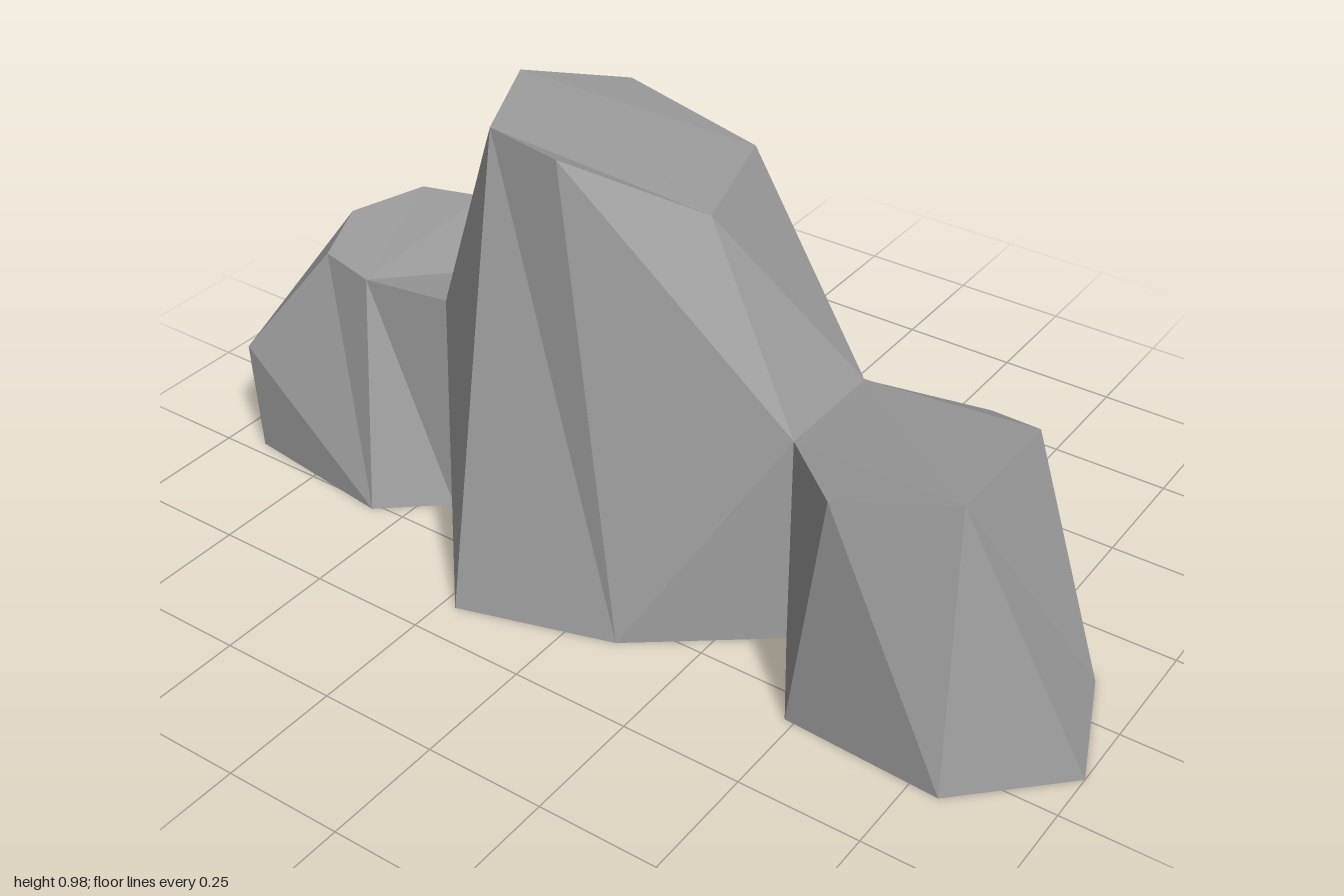
import * as THREE from 'three';

// Corners on the two seams where neighbouring rocks meet
const rightSeam = {
  A: [0.36, 0.46, 0.12], F: [0.36, 0.46, -0.13],
  a: [0.36, 0, 0.12], g: [0.36, 0, -0.13],
};
const leftSeam = {
  S1: [-0.44, 0.49, 0.14], S2: [-0.44, 0.39, -0.25],
  s1: [-0.44, 0, 0.155], s2: [-0.44, 0, -0.25],
};

// Builds a flat-faceted rock from named corners; each face is a fan turned outward
function makeRock(name, points, faces, material) {
  const corners = {};
  const centre = new THREE.Vector3();
  const keys = Object.keys(points);
  for (const key of keys) {
    corners[key] = new THREE.Vector3(...points[key]);
    centre.addScaledVector(corners[key], 1 / keys.length);
  }
  const positions = [];
  for (const face of faces) {
    const ring = face.split(' ').map((key) => corners[key]);
    for (let i = 1; i < ring.length - 1; i++) {
      const triangle = new THREE.Triangle(ring[0], ring[i], ring[i + 1]);
      const normal = triangle.getNormal(new THREE.Vector3());
      const outward = triangle.getMidpoint(new THREE.Vector3()).sub(centre);
      const order = normal.dot(outward) >= 0 ? [0, i, i + 1] : [0, i + 1, i];
      for (const k of order) positions.push(...ring[k].toArray());
    }
  }
  const geometry = new THREE.BufferGeometry();
  geometry.setAttribute('position', new THREE.Float32BufferAttribute(positions, 3));
  geometry.computeVertexNormals();
  const mesh = new THREE.Mesh(geometry, material);
  mesh.name = name;
  return mesh;
}

export function createModel() {
  const stone = new THREE.MeshStandardMaterial({
    color: 0x9e9e9e, flatShading: true, side: THREE.DoubleSide,
  });
  stone.name = 'stone grey';

  const group = new THREE.Group();
  group.name = 'rockCluster';

  // Tall middle rock, open underneath and at the seams
  group.add(makeRock('tallRock', {
    ...rightSeam, ...leftSeam,
    T1: [-0.35, 0.957, -0.01], T2: [-0.22, 0.975, 0.24], T3: [-0.065, 0.96, 0.25],
    T4: [0.165, 0.857, 0.105], T5: [0.015, 0.795, -0.27], T6: [-0.285, 0.855, -0.277],
    m: [-0.22, 0, 0.415], n: [0.1, 0, 0.32], k: [0.015, 0, -0.415],
  }, [
    'T2 T3 T4', 'T1 T2 T4', 'T1 T4 T5 T6', // top
    'S1 s1 m', 'T2 m S1 T1', 'T2 m n T3', 'T3 n A T4', 'A n a', // front
    'T4 A F', 'T4 F T5', 'F g k', 'F k T5', // right and back right
    'T5 k S2 T6', 'k S2 s2', 'T6 S2 S1 T1', // back and left
  ], stone));

  // Pointed rock on the +x side
  group.add(makeRock('sideRock', {
    ...rightSeam,
    B: [0.55, 0.525, 0.318], C: [0.77, 0.565, 0.245],
    D: [0.72, 0.48, -0.145], E: [0.58, 0.42, -0.23],
    b: [0.48, 0, 0.315], c: [0.81, 0, 0.333], d: [1, 0, 0.143],
    e: [0.9, 0, -0.108], f: [0.58, 0, -0.23],
  }, [
    'A B C', 'A C F', 'F C D', 'F D E', // top
    'A a b B', 'B b c C', 'C c d', 'C d e D', 'D e f E', 'E f g F', // walls
  ], stone));

  // Low rock with a sloped shoulder on the -x side
  group.add(makeRock('lowRock', {
    ...leftSeam,
    P1: [-0.84, 0.49, -0.03], P2: [-0.76, 0.49, 0.135], P3: [-0.63, 0.485, 0.163],
    Q: [-0.815, 0.47, -0.228], R: [-0.7, 0.455, -0.288],
    M1: [-1, 0.245, 0.05], M2: [-0.935, 0.245, 0.22],
    m1: [-0.985, 0, 0.05], m2: [-0.92, 0, 0.22],
    b: [-0.57, 0, 0.265], q: [-0.95, 0, -0.205], r: [-0.7, 0, -0.288],
  }, [
    'P3 S1 S2 R Q P1 P2', // top
    'P3 b s1 S1', 'P2 M2 b P3', 'M2 m2 b', // front
    'P1 M1 M2 P2', 'M1 m1 m2 M2', 'M1 q m1', 'P1 Q q M1', // outer end
    'Q q r R', 'R r s2 S2', // back
  ], stone));

  return group;
}
